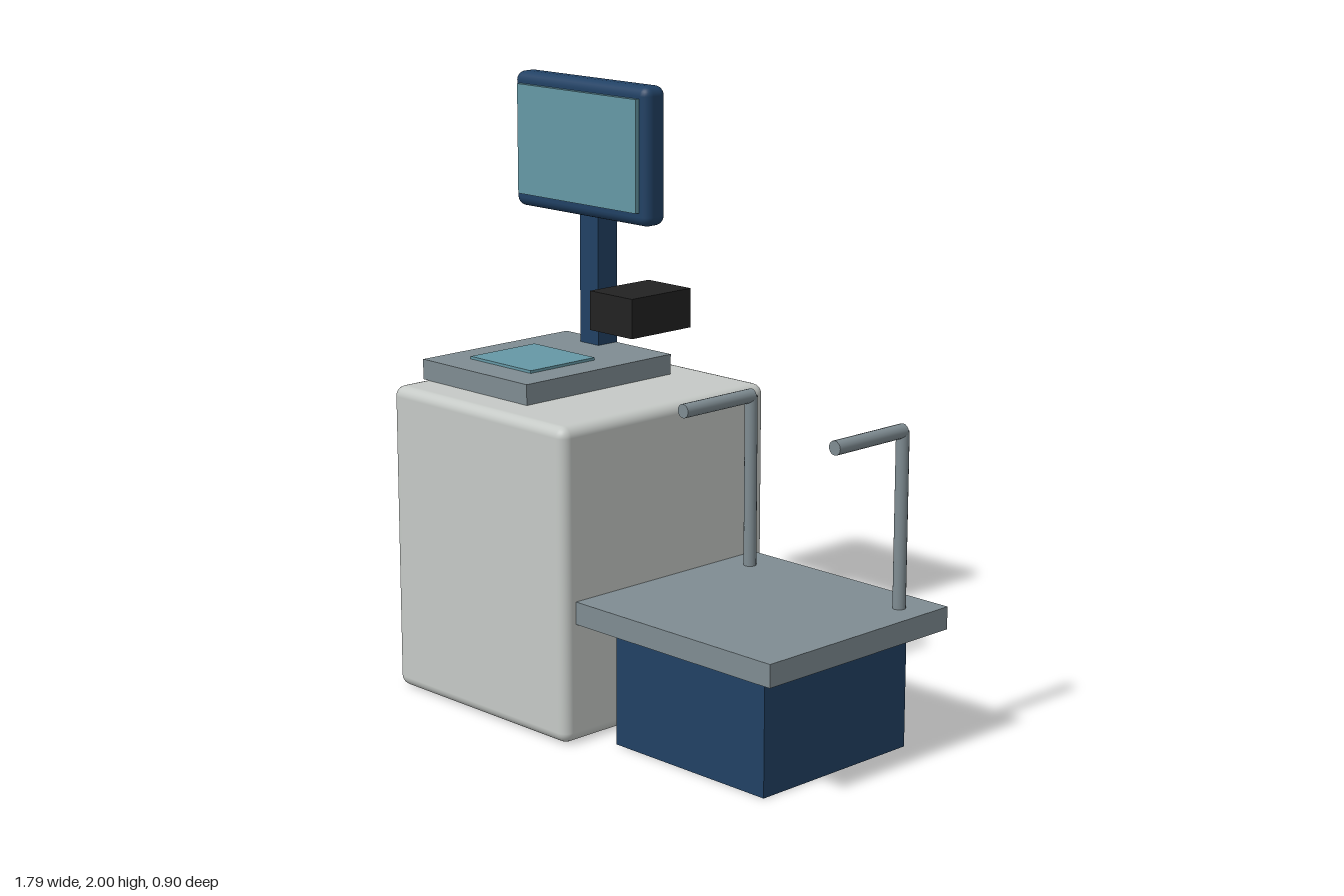
import * as THREE from 'three';
import { RoundedBoxGeometry } from 'three/addons/geometries/RoundedBoxGeometry.js';

function material(name, color) {
  const m = new THREE.MeshStandardMaterial({ color });
  m.name = name;
  return m;
}

export function createModel() {
  const group = new THREE.Group();
  group.name = 'selfCheckout';

  const shell = material('light grey shell', 0xc5c9c6);
  const metal = material('grey metal', 0x7f8c92);
  const navy = material('navy blue', 0x214164);
  const glass = material('teal glass', 0x6598a5);
  const black = material('black', 0x222222);

  // Box given by its limits [min, max] on each axis; radius rounds the edges
  function box(name, mat, [x0, x1], [y0, y1], [z0, z1], radius = 0) {
    const w = x1 - x0, h = y1 - y0, d = z1 - z0;
    const geometry = radius
      ? new RoundedBoxGeometry(w, h, d, 3, radius)
      : new THREE.BoxGeometry(w, h, d);
    const mesh = new THREE.Mesh(geometry, mat);
    mesh.name = name;
    mesh.position.set((x0 + x1) / 2, (y0 + y1) / 2, (z0 + z1) / 2);
    group.add(mesh);
  }

  // Cabinet and scanner on top
  box('cabinet', shell, [-0.78, 0.053], [0, 1.032], [-0.45, 0.45], 0.035);
  box('scannerBed', metal, [-0.775, -0.26], [1.032, 1.1], [-0.32, 0.32]);
  box('scannerGlass', glass, [-0.668, -0.37], [1.1, 1.109], [-0.077, 0.205]);

  // Monitor on its post
  box('monitorPost', navy, [-0.614, -0.525], [1.095, 1.675], [-0.325, -0.238]);
  box('monitorCase', navy, [-0.895, -0.245], [1.54, 2], [-0.29, -0.195], 0.032);
  box('monitorScreen', glass, [-0.857, -0.28], [1.587, 1.96], [-0.2, -0.178]);

  // Card reader
  box('cardReader', black, [-0.098, 0.093], [1.284, 1.41], [-0.062, 0.194]);

  // Bagging platform
  box('baggingBase', navy, [0.152, 0.796], [0, 0.395], [-0.32, 0.32]);
  box('baggingPlatform', metal, [0.053, 0.893], [0.393, 0.467], [-0.4, 0.4]);

  // Two bag hangers: an upright and an arm reaching forward
  const r = 0.021;
  for (const [side, x] of [['right', 0.151], ['left', 0.797]]) {
    const upright = new THREE.Mesh(new THREE.CylinderGeometry(r, r, 0.57, 16), metal);
    upright.name = side + 'HangerUpright';
    upright.position.set(x, 0.75, -0.281);
    const arm = new THREE.Mesh(new THREE.CylinderGeometry(r + 0.002, r + 0.002, 0.31, 16), metal);
    arm.name = side + 'HangerArm';
    arm.rotation.x = Math.PI / 2;
    arm.position.set(x, 1.036, -0.127);
    group.add(upright, arm);
  }
  return group;
}
